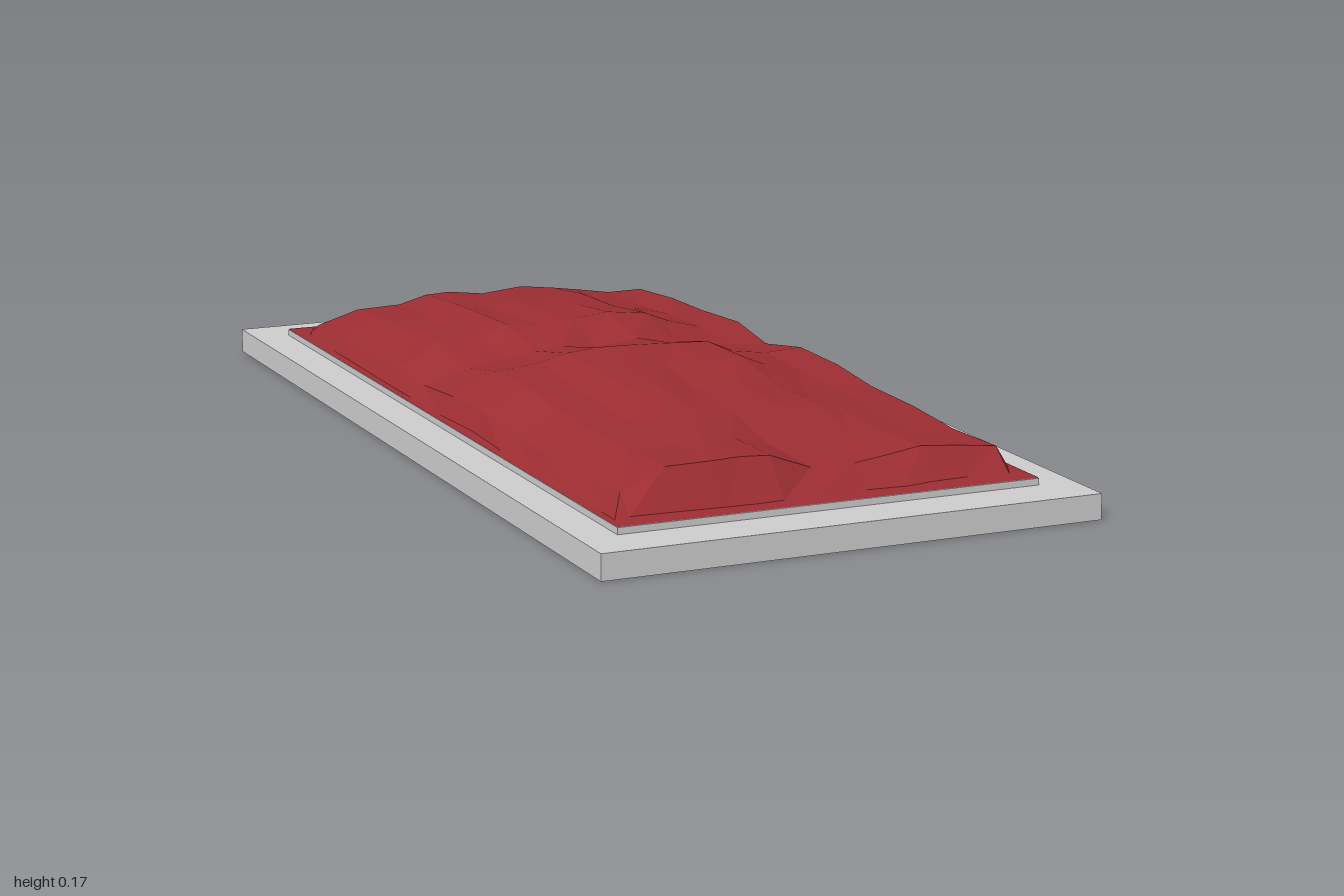
import * as THREE from 'three';

const grey = new THREE.MeshStandardMaterial({ color: 0xcccccc });
const red = new THREE.MeshStandardMaterial({ color: 0x9b2d32, flatShading: true, side: THREE.DoubleSide });

const BASE = 0.064; // level where the mound meets the bed

// grid lines of the mound, outer rims included
const xs = [-0.425, -0.408, -0.385, -0.29, -0.2, -0.14, -0.08, 0, 0.09, 0.17, 0.225, 0.3, 0.385, 0.41, 0.425];
const zs = [-0.9, -0.86, -0.81, -0.64, -0.48, -0.31, -0.17, 0, 0.16, 0.32, 0.48, 0.64, 0.805, 0.86, 0.9];

// crest heights across, along, and at the front edge
const across = [0.064, 0.066, 0.102, 0.143, 0.152, 0.173, 0.172, 0.168, 0.178, 0.166, 0.147, 0.127, 0.128, 0.066, 0.064];
const along = [0.064, 0.067, 0.138, 0.152, 0.16, 0.172, 0.147, 0.18, 0.179, 0.163, 0.16, 0.132, 0.14, 0.068, 0.064];
const frontEdge = [0.064, 0.066, 0.1, 0.138, 0.14, 0.14, 0.138, 0.106, 0.106, 0.114, 0.124, 0.117, 0.108, 0.066, 0.064];

function seeded(seed) {
  return () => {
    seed = (seed * 16807) % 2147483647;
    return seed / 2147483647 * 2 - 1;
  };
}

function box(name, w, h, d, y) {
  const mesh = new THREE.Mesh(new THREE.BoxGeometry(w, h, d), grey);
  mesh.name = name;
  mesh.position.y = y + h / 2;
  return mesh;
}

// rumpled cover: a grid bent to the profiles, with small irregularities
function moundGeometry() {
  const nx = xs.length, nz = zs.length;
  const geo = new THREE.PlaneGeometry(1, 1, nx - 1, nz - 1).rotateX(-Math.PI / 2);
  const pos = geo.attributes.position;
  const rand = seeded(71);
  for (let j = 0; j < nz; j++) {
    for (let i = 0; i < nx; i++) {
      const rim = i === 0 || j === 0 || i === nx - 1 || j === nz - 1;
      const lowRing = i === 1 || j === 1 || i === nx - 2 || j === nz - 2;
      const a = rand(), b = rand(), c = rand();
      let y = BASE;
      if (lowRing && !rim) y = BASE + 0.003 + 0.002 * a;
      else if (!rim) {
        y = BASE + (across[i] - BASE) * (along[j] - BASE) / 0.114 * (0.96 + 0.08 * a);
        const blend = [0, 0.3, 0.6, 1][Math.max(0, j - 9)];
        y += (frontEdge[i] - y) * blend;
      }
      const wobble = rim ? 0 : 0.005;
      pos.setXYZ(j * nx + i, xs[i] + wobble * b, y, zs[j] + wobble * c);
    }
  }
  geo.computeVertexNormals();
  return geo;
}

export function createModel() {
  const model = new THREE.Group();
  model.name = 'moundOnSlab';

  // stone slab and the thin bed on top of it
  model.add(box('slab', 1, 0.05, 2, 0));
  model.add(box('bed', 0.85, 0.013, 1.8, 0.05));

  const mound = new THREE.Mesh(moundGeometry(), red);
  mound.name = 'mound';
  model.add(mound);

  return model;
}
